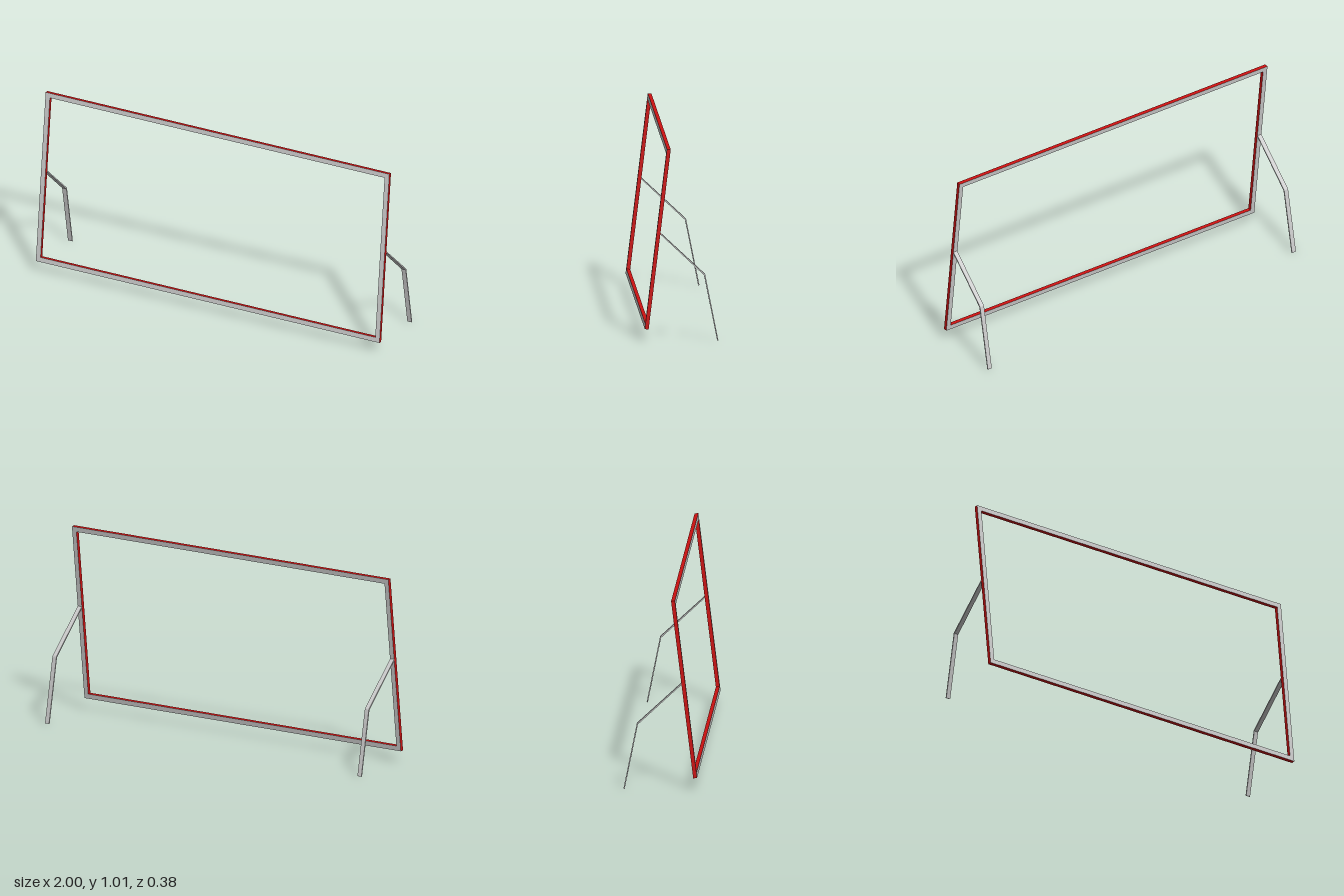
import * as THREE from 'three';

export function createModel() {
  const model = new THREE.Group();
  const grey = new THREE.MeshStandardMaterial({ color: 0xcccccc, flatShading: true });
  const red = new THREE.MeshStandardMaterial({ color: 0xcc1111, flatShading: true });

  // Closed rectangle path around the origin
  const rectangle = (path, w, h) => {
    path.moveTo(-w / 2, -h / 2);
    path.lineTo(w / 2, -h / 2);
    path.lineTo(w / 2, h / 2);
    path.lineTo(-w / 2, h / 2);
    path.closePath();
    return path;
  };

  // Leaning frame: grey front and back, red inner and outer edges
  const bar = 0.026, height = 0.955, thickness = 0.02;
  const outline = rectangle(new THREE.Shape(), 2, height);
  outline.holes.push(rectangle(new THREE.Path(), 2 - 2 * bar, height - 2 * bar));
  const frameGeometry = new THREE.ExtrudeGeometry(outline, { depth: thickness, bevelEnabled: false });
  frameGeometry.translate(0, 0, -thickness / 2);
  const frame = new THREE.Mesh(frameGeometry, [grey, red]);
  frame.name = 'frame';
  frame.position.set(0, 0.537, 0.125);
  frame.rotation.x = -0.1215;
  model.add(frame);

  // Bent flat-strip legs, drawn in side profile (z, y)
  const legWidth = 0.025;
  const profile = new THREE.Shape([
    [0.115, 0.566], [0.115, 0.574], [-0.118, 0.355], [-0.123, 0.349],
    [-0.192, 0.002], [-0.186, 0], [-0.117, 0.346],
  ].map(([z, y]) => new THREE.Vector2(z, y)));
  const legGeometry = new THREE.ExtrudeGeometry(profile, { depth: legWidth, bevelEnabled: false });
  legGeometry.translate(0, 0, -legWidth / 2).rotateY(-Math.PI / 2);
  for (const side of [1, -1]) {
    const leg = new THREE.Mesh(legGeometry, grey);
    leg.name = side > 0 ? 'leftLeg' : 'rightLeg';
    leg.position.x = side * (1 - legWidth / 2);
    model.add(leg);
  }

  return model;
}
